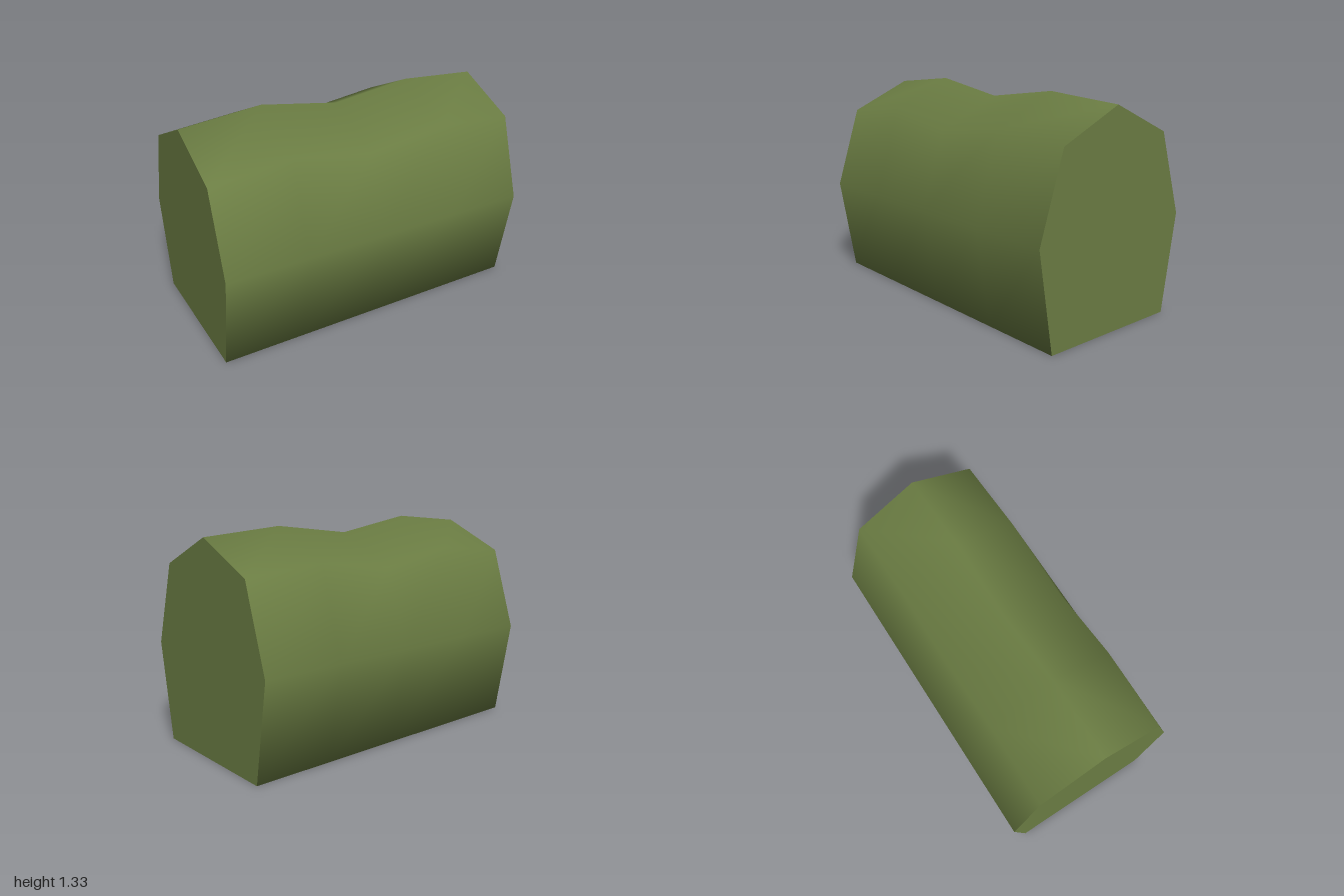
import * as THREE from 'three';

// half of the cross-section as [z, y, share of the ridge sway]
const half = [[0.46, 0, 0], [0.56, 0.6, 0], [0.4, 1.1, 1]];
const ring = [...half, [0, 1.28, 1], ...half.map(([z, y, s]) => [-z, y, s]).reverse()];

// stations along the length as [x, rise of the ridge]
const stations = [[-1, 0], [-0.5, 0.05], [0, -0.03], [0.5, 0.035], [1, 0]];

function makeGeometry(positions, indices) {
  const geometry = new THREE.BufferGeometry();
  geometry.setAttribute('position', new THREE.Float32BufferAttribute(positions, 3));
  geometry.setIndex(indices);
  geometry.computeVertexNormals();
  return geometry;
}

const section = ([x, rise]) => ring.flatMap(([z, y, s]) => [x, y + rise * s, z]);

// smooth closed skin, underside included
function skinGeometry() {
  const n = ring.length;
  const indices = [];
  for (let i = 0; i < stations.length - 1; i++) {
    for (let j = 0; j < n; j++) {
      const k = (j + 1) % n;
      const a = i * n + j, b = a + n, c = (i + 1) * n + k, d = i * n + k;
      indices.push(a, b, c, a, c, d);
    }
  }
  return makeGeometry(stations.flatMap(section), indices);
}

// flat end wall
function endGeometry(station, facesLeft) {
  const indices = [];
  for (let k = 1; k < ring.length - 1; k++) {
    indices.push(0, ...(facesLeft ? [k + 1, k] : [k, k + 1]));
  }
  return makeGeometry(section(station), indices);
}

export function createModel() {
  const group = new THREE.Group();
  group.name = 'tent';
  const canvas = new THREE.MeshStandardMaterial({ color: 0x6b7d43 });
  canvas.name = 'olive canvas';

  const add = (name, geometry) => {
    const mesh = new THREE.Mesh(geometry, canvas);
    mesh.name = name;
    group.add(mesh);
  };
  add('canvasSkin', skinGeometry());
  add('rightEnd', endGeometry(stations[0], false));
  add('leftEnd', endGeometry(stations[stations.length - 1], true));
  return group;
}
